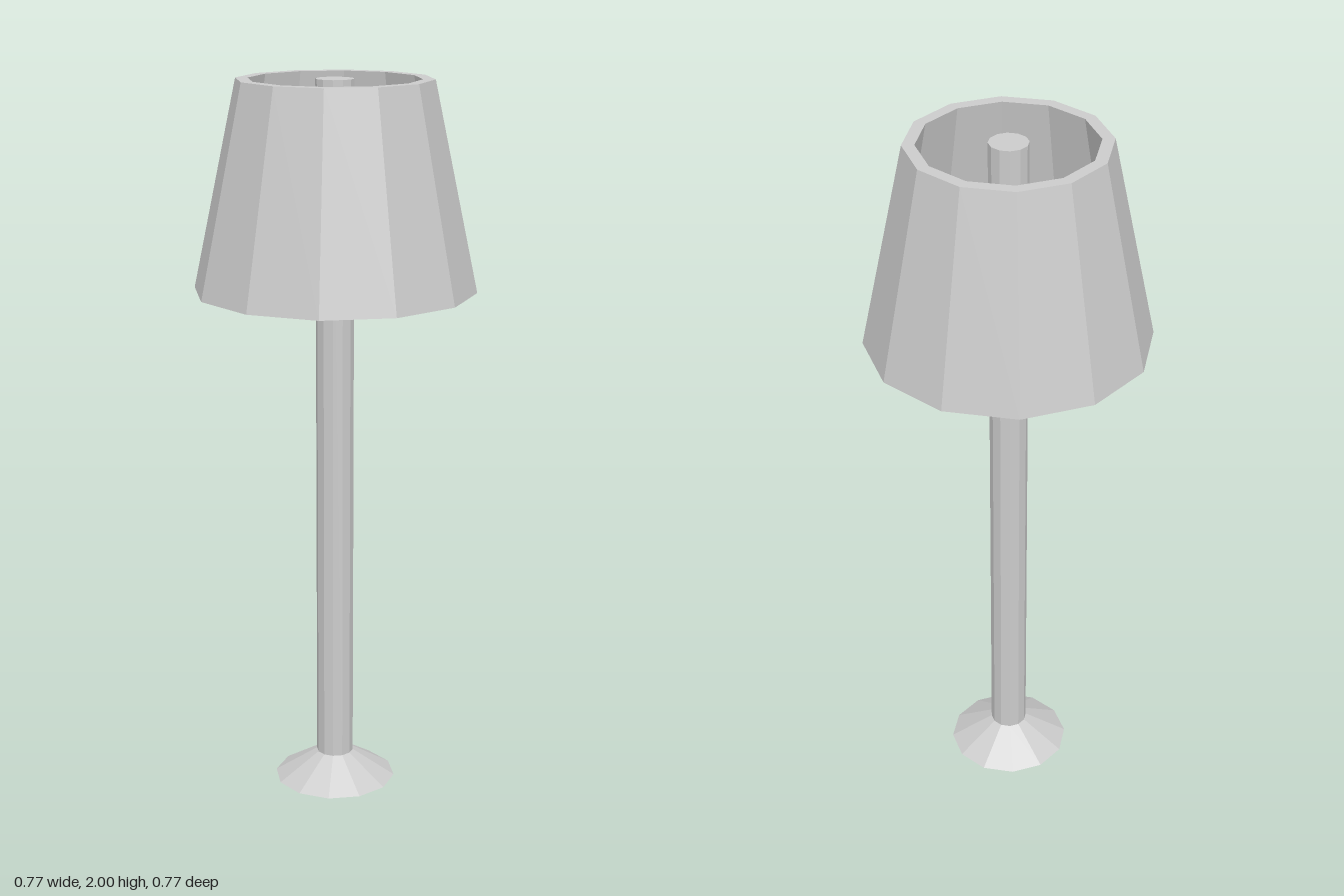
import * as THREE from 'three';

const SIDES = 12;

export function createModel() {
  const model = new THREE.Group();
  model.name = 'floorLamp';
  const material = new THREE.MeshStandardMaterial({ color: 0xcccccc, flatShading: true });

  // Faceted turned part from a [radius, height] profile
  const turned = (name, profile) => {
    const points = profile.map(([r, y]) => new THREE.Vector2(r, y));
    const mesh = new THREE.Mesh(new THREE.LatheGeometry(points, SIDES), material);
    mesh.name = name;
    model.add(mesh);
  };

  // Conical foot with a flat underside
  turned('base', [[0, 0], [0.172, 0], [0.052, 0.075]]);

  // Straight post, capped level with the top of the shade
  turned('pole', [[0.052, 0.075], [0.052, 2], [0, 2]]);

  // Thick-walled tapered shade, open above and below
  turned('shade', [
    [0.385, 1.435], [0.265, 2], [0.232, 2], [0.337, 1.435], [0.385, 1.435],
  ]);

  return model;
}
